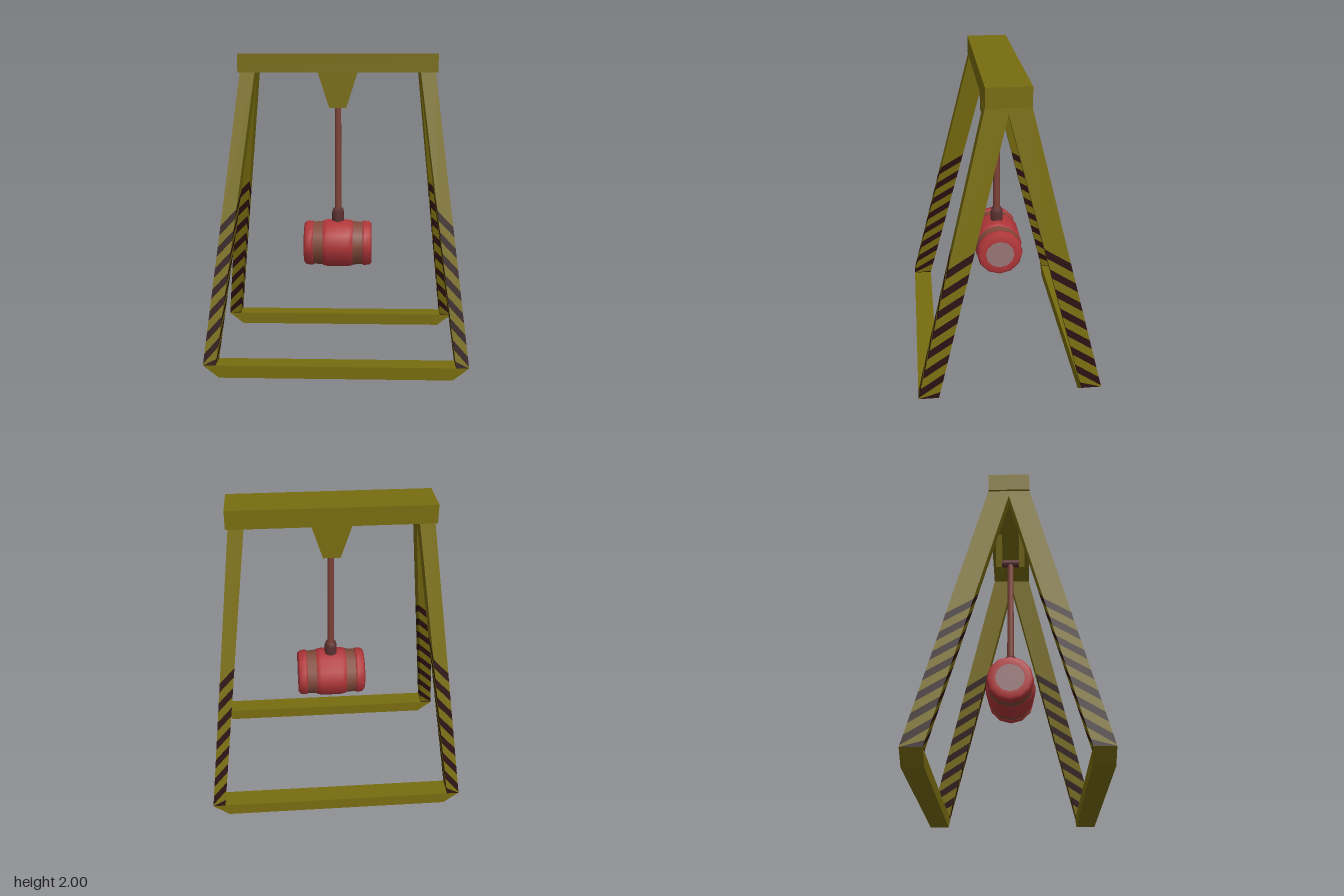
import * as THREE from 'three';

const paint = (name, color, side = THREE.FrontSide) => {
  const m = new THREE.MeshStandardMaterial({ color, side });
  m.name = name;
  return m;
};

export function createModel() {
  const yellow = paint('olive yellow', 0x786c10);
  const dark = paint('warning stripe', 0x2a0f10);
  const red = paint('hammer red', 0xb03639);
  const brown = paint('band brown', 0x81493a);
  const rust = paint('rod rust', 0x7e4238);
  const iron = paint('dark iron', 0x5a3030);
  const grey = paint('end grey', 0x977474);

  const root = new THREE.Group();
  root.name = 'swingingHammer';
  const add = (name, geometry, material, x = 0, y = 0, z = 0) => {
    const mesh = new THREE.Mesh(geometry, material);
    mesh.name = name;
    mesh.position.set(x, y, z);
    root.add(mesh);
    return mesh;
  };
  // Flat outline in x and y, given depth along z
  const plate = (points, depth) => {
    const shape = new THREE.Shape(points.map(([x, y]) => new THREE.Vector2(x, y)));
    return new THREE.ExtrudeGeometry(shape, { depth, bevelEnabled: false }).translate(0, 0, -depth / 2);
  };

  // Top beam
  add('topBeam', new THREE.BoxGeometry(1.28, 0.12, 0.266), yellow, 0, 1.94, 0);

  // Splayed leg, sliced by tilted rings into yellow and striped lengths
  const bottom = 0.08, top = 1.88;
  const corners = [
    { x: [0.83, 0.625], z: [0.577, 0.133], rise: 0 },
    { x: [0.75, 0.53], z: [0.577, 0.133], rise: 0.1 },
    { x: [0.75, 0.53], z: [0.45, -0.01], rise: 0.2 },
    { x: [0.83, 0.625], z: [0.45, -0.01], rise: 0.1 },
  ];
  const legGeometry = (sx, sz) => {
    const levels = [-1];
    for (let k = 8; k >= 0; k--) levels.push(0.87 - 0.13 * k, 0.93 - 0.13 * k);
    levels.push(3);
    const rings = levels.map((level) => corners.map((c) => {
      const y = THREE.MathUtils.clamp(level + c.rise, bottom, top);
      const t = (y - bottom) / (top - bottom);
      return [sx * THREE.MathUtils.lerp(...c.x, t), y, sz * THREE.MathUtils.lerp(...c.z, t)];
    }));
    const geometry = new THREE.BufferGeometry();
    const position = [];
    for (let i = 0; i + 1 < rings.length; i++) {
      geometry.addGroup(position.length / 3, 24, i % 2);
      for (let a = 0; a < 4; a++) {
        const b = (a + 1) % 4, lo = rings[i], hi = rings[i + 1];
        const quad = sx * sz > 0 ? [lo[b], lo[a], hi[a], hi[b]] : [lo[a], lo[b], hi[b], hi[a]];
        for (const j of [0, 1, 2, 0, 2, 3]) position.push(...quad[j]);
      }
    }
    geometry.setAttribute('position', new THREE.Float32BufferAttribute(position, 3));
    geometry.computeVertexNormals();
    return geometry;
  };

  for (const sz of [1, -1]) {
    const end = sz > 0 ? 'front' : 'back';
    for (const sx of [1, -1]) {
      add(end + (sx > 0 ? 'LeftLeg' : 'RightLeg'), legGeometry(sx, sz), [yellow, dark]);
    }
    // Ground rail with slanted ends
    add(end + 'Rail', plate([[-0.73, 0], [0.73, 0], [0.83, 0.08], [-0.83, 0.08]], 0.127), yellow, 0, 0, sz * 0.5135);
    // Tapered hanger plate under the beam
    add(end + 'Hanger', plate([[-0.055, 1.655], [0.055, 1.655], [0.13, 1.885], [-0.13, 1.885]], 0.04), yellow, 0, 0, sz * 0.08);
  }

  // Pivot pin, rod and socket
  add('pivotPin', new THREE.CylinderGeometry(0.026, 0.026, 0.13, 10).rotateX(Math.PI / 2), iron, 0, 1.715, 0);
  add('rod', new THREE.CylinderGeometry(0.021, 0.023, 0.8, 10), rust, 0, 1.32, 0);
  add('socket', new THREE.LatheGeometry(
    [[0.042, 0.87], [0.042, 0.95], [0.034, 0.978], [0, 0.978]].map(([r, y]) => new THREE.Vector2(r, y)), 10), iron);

  // Barrel-shaped hammer head, turned about x
  const turned = (profile) => new THREE.LatheGeometry(
    profile.map(([r, x]) => new THREE.Vector2(r, x)), 12).rotateZ(-Math.PI / 2);
  const headY = 0.737;
  add('headMiddle', turned([[0.14, -0.102], [0.155, -0.1], [0.163, -0.07], [0.164, 0], [0.163, 0.07], [0.155, 0.1], [0.14, 0.102]]),
    red, 0, headY, 0);
  const half = [
    ['band', [[0.153, 0.09], [0.146, 0.168]], brown],
    ['endCap', [[0.14, 0.163], [0.152, 0.166], [0.155, 0.178], [0.15, 0.212], [0.135, 0.226], [0.095, 0.226]], red],
    ['endDisc', [[0.095, 0.226], [0, 0.226]], grey],
  ];
  for (const turn of [0, Math.PI]) {
    for (const [name, profile, material] of half) {
      add((turn ? 'right ' : 'left ') + name, turned(profile), material, 0, headY, 0).rotation.y = turn;
    }
  }
  return root;
}
